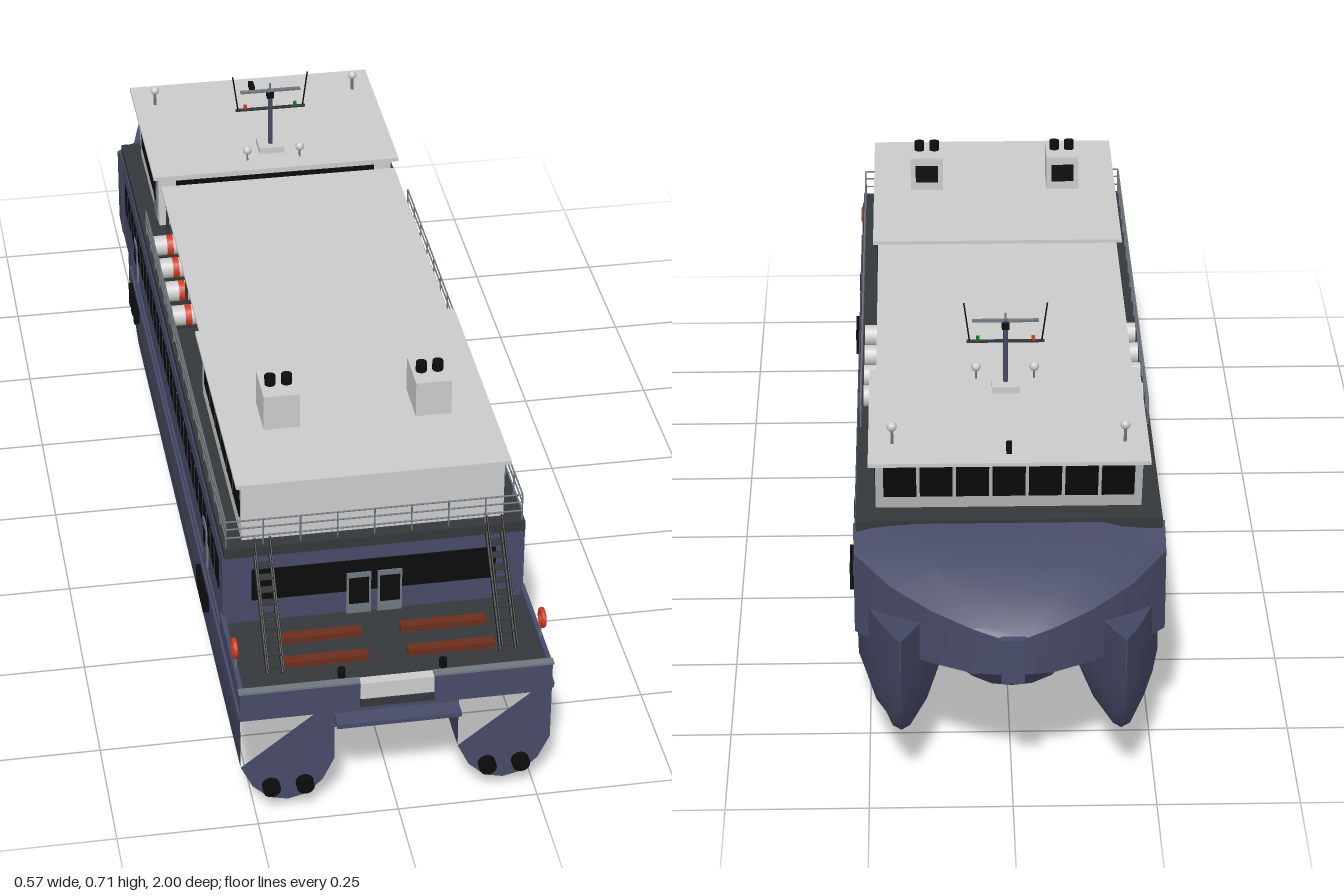
import * as THREE from 'three';
import { toCreasedNormals } from 'three/addons/utils/BufferGeometryUtils.js';

const paint = (color) => new THREE.MeshStandardMaterial({ color });
const grey = paint(0xcccccc), navy = paint(0x484b68), black = paint(0x0c0c0c), dark = paint(0x34383a);
const steel = paint(0x707880), brown = paint(0x6b2f1c), red = paint(0xd03a1c), green = paint(0x0a7a20);

export function createModel() {
  const ship = new THREE.Group();
  ship.name = 'catamaranFerry';

  const add = (name, geometry, material, x = 0, y = 0, z = 0) => {
    const mesh = new THREE.Mesh(geometry, material);
    mesh.name = name;
    mesh.position.set(x, y, z);
    ship.add(mesh);
    return mesh;
  };
  // box from its bounds
  const box = (name, mat, x0, x1, y0, y1, z0, z1) =>
    add(name, new THREE.BoxGeometry(Math.abs(x1 - x0), y1 - y0, Math.abs(z1 - z0)), mat,
      (x0 + x1) / 2, (y0 + y1) / 2, (z0 + z1) / 2);
  // round bar between two points
  const rod = (name, mat, a, b, r = 0.0015, sides = 6) => {
    const p = new THREE.Vector3(...a), q = new THREE.Vector3(...b), d = q.clone().sub(p);
    const mesh = add(name, new THREE.CylinderGeometry(r, r, d.length(), sides), mat);
    mesh.position.copy(p).add(q).multiplyScalar(0.5);
    mesh.quaternion.setFromUnitVectors(new THREE.Vector3(0, 1, 0), d.normalize());
    return mesh;
  };
  // skin over closed sections, ordered stern to bow, each clockwise seen from the stern
  const loft = (name, mat, sections, sternGap = 0) => {
    const n = sections[0].length, index = [], last = (sections.length - 1) * n;
    for (let s = 0; s < sections.length - 1; s++)
      for (let i = 0; i < n; i++) {
        const a = s * n + i, b = s * n + (i + 1) % n;
        index.push(a, b, a + n, b, b + n, a + n);
      }
    for (let i = 1; i < n - 1; i++) {
      if (i < n - 1 - sternGap) index.push(0, i + 1, i);
      index.push(last, last + i, last + i + 1);
    }
    const g = new THREE.BufferGeometry();
    g.setAttribute('position', new THREE.Float32BufferAttribute(sections.flat(2), 3));
    g.setIndex(index);
    return add(name, toCreasedNormals(g, 0.5), mat);
  };

  // twin hulls: z, half width, keel, chine, top
  const stations = [
    [0.97, 0.083, 0.025, 0.105, 0.235], [0.4, 0.083, 0.008, 0.097, 0.235], [0, 0.083, 0, 0.095, 0.235],
    [-0.45, 0.083, 0.002, 0.095, 0.235], [-0.65, 0.077, 0.02, 0.11, 0.25], [-0.78, 0.06, 0.048, 0.14, 0.28],
    [-0.88, 0.038, 0.085, 0.18, 0.305], [-0.95, 0.018, 0.135, 0.22, 0.32], [-0.985, 0.006, 0.19, 0.25, 0.328],
    [-1, 0.001, 0.25, 0.28, 0.33]];
  for (const s of [1, -1]) {
    loft('hull', navy, stations.map(([z, w, k, c, t]) => {
      const at = (u, f) => [s * 0.193 + u * w, k + f * (c - k), z];
      const top = (u) => [s * 0.193 + u * w, t, z];
      return [top(1), at(1, 1), at(0.75, 0.45), at(0.4, 0.1), at(0, 0), at(-0.4, 0.1), at(-0.75, 0.45), at(-1, 1), top(-1)];
    }), 1);
    for (const x of [0.163, 0.223])
      rod('waterJet', black, [s * x, 0.06, 0.95], [s * x, 0.06, 0.985], 0.016, 16);
    box('hullStrake', dark, s * 0.274, s * 0.279, 0.145, 0.152, 0.45, -0.5);
    box('rubbingStrake', navy, s * 0.27, s * 0.28, 0.212, 0.224, 0.97, -0.55);
    for (const z of [0.575, 0.54, 0.505, -0.43, -0.465, -0.5])
      box('fender', black, s * 0.274, s * 0.287, 0.16, 0.208, z - 0.008, z + 0.008);
  }

  // bridging structure and central bow
  box('bridgeDeck', navy, -0.272, 0.272, 0.206, 0.245, 0.96, -0.72);
  const bow = [[-0.7, 0.275, 0.41, 0.4, 0.215], [-0.765, 0.274, 0.405, 0.375, 0.22], [-0.85, 0.21, 0.39, 0.355, 0.23],
    [-0.915, 0.14, 0.36, 0.343, 0.24], [-0.96, 0.07, 0.336, 0.332, 0.245], [-0.975, 0.025, 0.325, 0.322, 0.25]];
  loft('bowCover', navy, bow.map(([z, w, t, e, b]) =>
    [[w, e, z], [w, b, z], [-w, b, z], [-w, e, z], [-w * 0.6, t, z], [w * 0.6, t, z]]));
  box('stemFender', navy, -0.02, 0.02, 0.24, 0.325, -0.97, -0.99);
  const pod = [[-0.2, 0.095, 0.2], [-0.45, 0.095, 0.15], [-0.65, 0.095, 0.13], [-0.8, 0.09, 0.145], [-0.9, 0.07, 0.185], [-0.965, 0.025, 0.24]];
  loft('centreBow', navy, pod.map(([z, w, k]) =>
    [[w, 0.27, z], [w, k + 0.02, z], [w * 0.5, k + 0.004, z], [0, k, z], [-w * 0.5, k + 0.004, z], [-w, k + 0.02, z], [-w, 0.27, z]]));

  // aft deck
  box('aftDeck', dark, -0.27, 0.27, 0.244, 0.248, 0.73, 0.96);
  for (const s of [1, -1]) {
    box('sideBulwark', navy, s * 0.268, s * 0.276, 0.206, 0.266, 0.73, 0.97);
    box('sternBulwark', navy, s * 0.065, s * 0.276, 0.206, 0.266, 0.96, 0.97);
    box('bulwarkCap', steel, s * 0.065, s * 0.278, 0.264, 0.268, 0.957, 0.972);
    for (const z of [0.81, 0.88]) box('deckBench', brown, s * 0.035, s * 0.19, 0.25, 0.262, z - 0.01, z + 0.01);
    rod('bollard', black, [s * 0.09, 0.245, 0.925], [s * 0.09, 0.265, 0.925], 0.007, 10);
    // inclined ladder with handrails
    for (const x of [0.193, 0.22]) {
      rod('ladderStringer', black, [s * x, 0.265, 0.92], [s * x, 0.42, 0.78], 0.003);
      rod('ladderHandrail', black, [s * x, 0.285, 0.935], [s * x, 0.457, 0.78], 0.002);
    }
    for (let i = 0; i < 9; i++) {
      const y = 0.275 + i * 0.0165, z = 0.911 - i * 0.0149;
      box('ladderStep', dark, s * 0.193, s * 0.22, y - 0.0015, y + 0.0015, z - 0.008, z + 0.008);
    }
    // lifebuoy on its post
    rod('lifebuoyPost', steel, [s * 0.271, 0.26, 0.89], [s * 0.271, 0.295, 0.89], 0.002);
    add('lifebuoy', new THREE.TorusGeometry(0.014, 0.005, 8, 20), red, s * 0.273, 0.306, 0.89).rotation.y = Math.PI / 2;
  }
  box('sternGate', grey, -0.065, 0.065, 0.232, 0.265, 0.955, 0.974);
  box('sternStep', dark, -0.065, 0.065, 0.216, 0.232, 0.955, 0.976);
  box('sternBeam', navy, -0.11, 0.11, 0.17, 0.216, 0.9, 0.965);
  box('boardingPlatform', navy, -0.11, 0.11, 0.192, 0.2, 0.96, 1);

  // main passenger cabin
  box('mainCabin', navy, -0.272, 0.272, 0.244, 0.396, 0.74, -0.705);
  box('upperDeck', dark, -0.27, 0.27, 0.395, 0.415, 0.75, -0.72);
  box('aftWindows', black, -0.22, 0.22, 0.295, 0.36, 0.735, 0.743);
  for (const s of [1, -1]) {
    box('sideWindows', black, s * 0.265, s * 0.2735, 0.297, 0.36, 0.7, -0.65);
    for (let i = 1; i < 27; i++)
      box('windowMullion', navy, s * 0.265, s * 0.2742, 0.297, 0.36, 0.7 - i * 0.05 - 0.0015, 0.7 - i * 0.05 + 0.0015);
    for (const z of [0.54, -0.465]) {
      box('sideDoorFrame', steel, s * 0.265, s * 0.2755, 0.244, 0.33, z - 0.02, z + 0.02);
      box('sideDoor', navy, s * 0.265, s * 0.2765, 0.246, 0.322, z - 0.016, z + 0.016);
      box('sideDoorGlass', black, s * 0.265, s * 0.2775, 0.285, 0.318, z - 0.011, z + 0.011);
    }
    box('aftDoorFrame', steel, s * 0.006, s * 0.05, 0.248, 0.335, 0.735, 0.746);
    box('aftDoorGlass', black, s * 0.01, s * 0.046, 0.27, 0.325, 0.735, 0.748);
  }

  // aft upper cabin with exhaust casings
  box('aftUpperCabin', grey, -0.235, 0.235, 0.415, 0.53, 0.725, 0.24);
  box('aftRoof', grey, -0.245, 0.245, 0.53, 0.537, 0.735, 0.22);
  for (const s of [1, -1]) {
    box('upperCabinWindows', black, s * 0.23, s * 0.237, 0.455, 0.508, 0.71, 0.275);
    for (let z = 0.35; z < 0.7; z += 0.072)
      box('upperWindowMullion', dark, s * 0.23, s * 0.238, 0.455, 0.508, z - 0.002, z + 0.002);
    box('exhaustCasing', grey, s * 0.105, s * 0.17, 0.537, 0.606, 0.477, 0.567);
    box('casingVent', black, s * 0.115, s * 0.16, 0.555, 0.59, 0.474, 0.48);
    for (const x of [0.122, 0.152])
      rod('exhaustPipe', black, [s * x, 0.6, 0.525], [s * x, 0.624, 0.525], 0.01, 14);
  }

  // open deck canopy
  box('canopy', grey, -0.235, 0.235, 0.521, 0.527, 0.24, -0.34);
  for (const s of [1, -1]) {
    for (const z of [0.21, -0.05, -0.33])
      rod('canopyPost', dark, [s * 0.225, 0.415, z], [s * 0.225, 0.522, z], 0.003);
    // life raft canisters
    for (const z of [0, -0.09, -0.178, -0.265]) {
      rod('lifeRaft', grey, [s * 0.2, 0.437, z], [s * 0.26, 0.437, z], 0.02, 16);
      rod('lifeRaftBand', red, [s * 0.224, 0.437, z], [s * 0.236, 0.437, z], 0.0207, 16);
      box('lifeRaftCradle', dark, s * 0.205, s * 0.255, 0.413, 0.422, z - 0.016, z + 0.016);
    }
  }

  // upper deck railing
  for (const y of [0.434, 0.452, 0.468]) {
    rod('aftRail', steel, [-0.265, y, 0.742], [0.265, y, 0.742]);
    for (const s of [1, -1]) rod('sideRail', steel, [s * 0.265, y, 0.742], [s * 0.265, y, -0.35]);
  }
  for (let i = 0; i <= 8; i++) {
    const x = -0.265 + i * 0.06625;
    rod('railPost', steel, [x, 0.415, 0.742], [x, 0.468, 0.742]);
  }
  for (const s of [1, -1])
    for (let z = 0.67; z > -0.36; z -= 0.068) rod('railPost', steel, [s * 0.265, 0.415, z], [s * 0.265, 0.468, z]);

  // wheelhouse with forward-raked windscreen
  const frame = (zTop, zLow) => [[0.235, 0.53, zTop], [0.235, 0.415, zLow], [-0.235, 0.415, zLow], [-0.235, 0.53, zTop]];
  loft('wheelhouse', grey, [frame(-0.38, -0.38), frame(-0.71, -0.67)]);
  box('wheelhouseRoof', grey, -0.247, 0.247, 0.53, 0.537, -0.36, -0.74);
  box('wheelhouseAftWindows', black, -0.2, 0.2, 0.46, 0.515, -0.377, -0.385);
  for (let i = -3; i <= 3; i++)
    add('windscreenPane', new THREE.BoxGeometry(0.058, 0.075, 0.006), black, i * 0.064, 0.479, -0.692).rotation.x = -0.335;
  for (const s of [1, -1]) {
    box('wheelhouseWindows', black, s * 0.23, s * 0.237, 0.45, 0.52, -0.46, -0.645);
    box('wheelhouseDoor', steel, s * 0.23, s * 0.238, 0.418, 0.52, -0.4, -0.442);
    box('wheelhouseDoorGlass', black, s * 0.23, s * 0.239, 0.46, 0.512, -0.407, -0.435);
    rod('searchlightPole', steel, [s * 0.205, 0.535, -0.66], [s * 0.205, 0.566, -0.66], 0.003);
    add('searchlight', new THREE.SphereGeometry(0.009, 14, 10), grey, s * 0.205, 0.57, -0.66);
    add('antennaDome', new THREE.SphereGeometry(0.009, 14, 10), grey, s * 0.053, 0.56, -0.4);
    rod('domePole', steel, [s * 0.053, 0.535, -0.4], [s * 0.053, 0.555, -0.4], 0.002);
    rod('whipAntenna', black, [s * 0.065, 0.63, -0.44], [s * 0.075, 0.705, -0.44]);
    box('navigationLight', s > 0 ? green : red, s * 0.047, s * 0.053, 0.631, 0.64, -0.437, -0.443);
  }

  // signal mast
  box('mastBase', grey, -0.025, 0.025, 0.537, 0.55, -0.42, -0.465);
  rod('mast', navy, [0, 0.545, -0.44], [0, 0.672, -0.44], 0.0045, 10);
  rod('mastTip', steel, [0, 0.67, -0.44], [0, 0.685, -0.44], 0.002);
  box('mastYard', dark, -0.07, 0.07, 0.628, 0.632, -0.437, -0.443);
  box('radarScanner', steel, -0.06, 0.06, 0.668, 0.672, -0.435, -0.443);
  box('radarMotor', black, -0.007, 0.007, 0.655, 0.668, -0.432, -0.447);
  box('horn', black, -0.005, 0.005, 0.537, 0.55, -0.68, -0.705);
  return ship;
}
